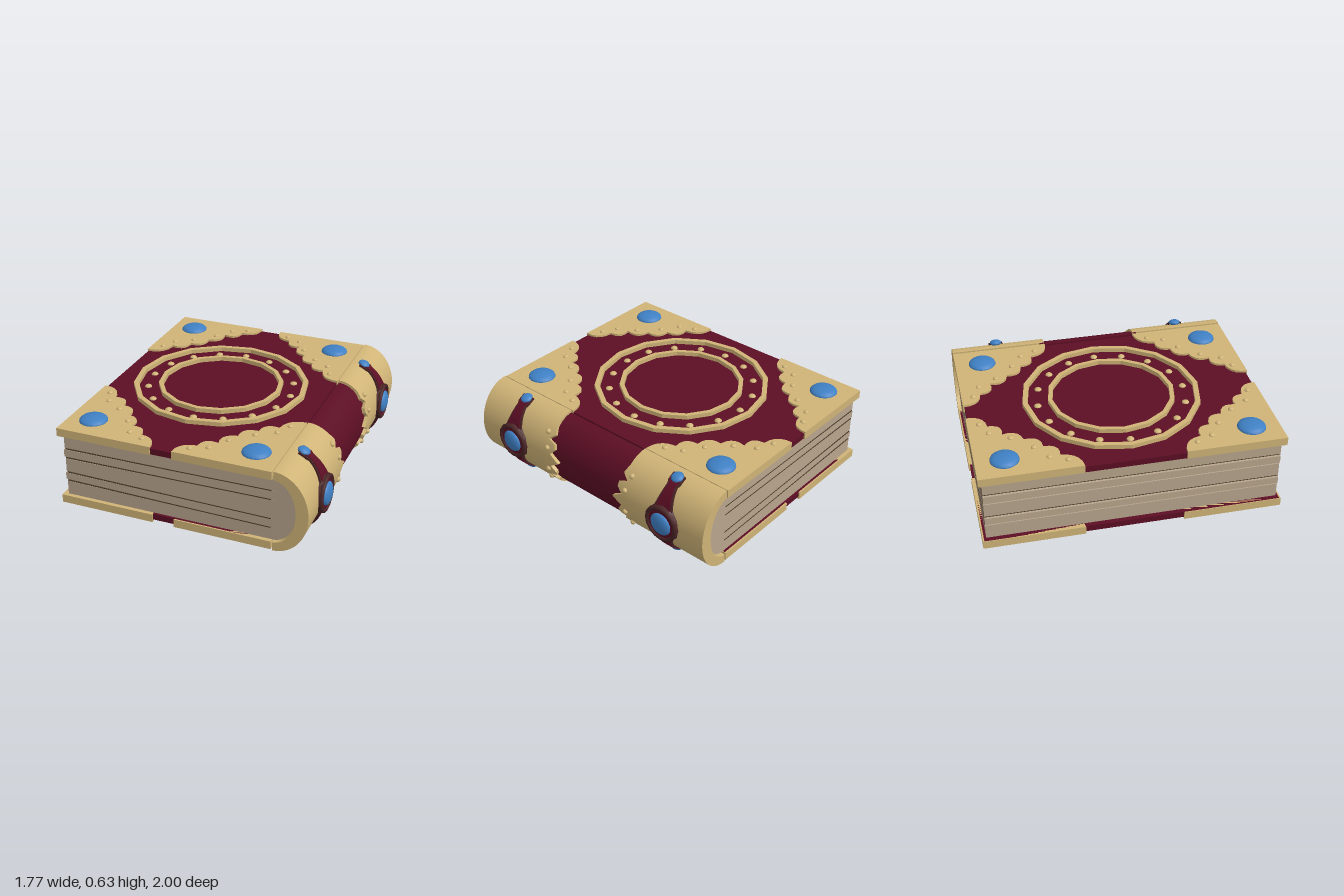
import * as THREE from 'three';
import { toCreasedNormals } from 'three/addons/utils/BufferGeometryUtils.js';

const material = (name, color, side = THREE.FrontSide) => {
  const m = new THREE.MeshStandardMaterial({ color, side });
  m.name = name;
  return m;
};
const CY = 0.315;   // mid height of the book
const CX = -0.145;  // middle of the cover
const SX = 0.605;   // where the spine begins

export function createModel() {
  const gold = material('gold', 0xd0b477, THREE.DoubleSide);
  const red = material('darkRed', 0x5c0e24, THREE.DoubleSide);
  const blue = material('gemBlue', 0x3f80c4);
  const brown = material('darkBrown', 0x4a2426, THREE.DoubleSide);
  const paper = material('paper', 0xb8a58d);
  const gap = material('pageGap', 0x4a3b2c);

  const book = new THREE.Group();
  book.name = 'book';
  const add = (parent, name, geo, mat, x = 0, y = 0, z = 0) => {
    const m = new THREE.Mesh(geo, mat);
    m.name = name;
    m.position.set(x, y, z);
    parent.add(m);
    return m;
  };
  // flattened dome used for gems and studs
  const dome = (parent, name, r, h, mat, x, y, z) => {
    const m = add(parent, name, new THREE.SphereGeometry(r, 20, 12), mat, x, y, z);
    m.scale.y = h / r;
    return m;
  };
  // lays a shape drawn in x, z flat, with its top at height 0
  const slab = (shape, depth) =>
    new THREE.ExtrudeGeometry(shape, { depth, bevelEnabled: false, curveSegments: 5 }).rotateX(Math.PI / 2);

  // ---- covers ----
  const cusps = [[-0.22, -1], [-0.34, -0.87], [-0.45, -0.79], [-0.53, -0.66], [-0.63, -0.55], [-0.74, -0.46], [-0.885, -0.33]];
  const studs = [[-0.31, -0.92], [-0.42, -0.87], [-0.5, -0.74], [-0.63, -0.61], [-0.75, -0.53], [-0.8, -0.42]];

  const cornerShape = (sx, sz) => {
    const p = (x, z) => [CX + sx * (CX - x), -sz * z];
    const s = new THREE.Shape();
    s.moveTo(...p(-0.885, -1));
    s.lineTo(...p(...cusps[0]));
    for (let i = 1; i < cusps.length; i++) {
      const [ax, az] = cusps[i - 1], [bx, bz] = cusps[i];
      const dx = bx - ax, dz = bz - az, l = Math.hypot(dx, dz);
      s.quadraticCurveTo(...p((ax + bx) / 2 + dz / l * 0.085, (az + bz) / 2 - dx / l * 0.085), ...p(bx, bz));
    }
    s.closePath();
    return s;
  };
  const polygon = (path, r) => path.setFromPoints(Array.from({ length: 16 }, (_, i) =>
    new THREE.Vector2(r * Math.cos(i * Math.PI / 8), r * Math.sin(i * Math.PI / 8))));

  const makeCover = (name) => {
    const g = new THREE.Group();
    g.name = name;
    add(g, 'coverBoard', new THREE.BoxGeometry(1.47, 0.042, 1.98), red, CX, 0.244, 0);
    for (const sx of [-1, 1]) for (const sz of [-1, 1]) {
      add(g, 'cornerPlate', slab(cornerShape(sx, sz), 0.057), gold, 0, 0.28, 0);
      for (const [x, z] of studs) dome(g, 'cornerStud', 0.02, 0.014, gold, CX + sx * (CX - x), 0.28, -sz * z);
      dome(g, 'cornerGem', 0.095, 0.035, blue, CX + sx * 0.57, 0.28, sz * 0.81);
    }
    for (const [outer, inner] of [[0.61, 0.575], [0.435, 0.405]]) {
      const s = polygon(new THREE.Shape(), outer);
      s.holes.push(polygon(new THREE.Path(), inner));
      add(g, 'coverRing', slab(s, 0.035), gold, CX - 0.005, 0.295, 0);
    }
    for (let i = 0; i < 16; i++) {
      const a = i * Math.PI / 8 - 0.025;
      dome(g, 'ringStud', 0.025, 0.016, gold, CX - 0.005 + 0.508 * Math.cos(a), 0.265, 0.508 * Math.sin(a));
    }
    g.position.y = CY;
    book.add(g);
    return g;
  };
  makeCover('topCover');
  makeCover('bottomCover').rotation.x = Math.PI;

  // ---- pages, with narrow wedge gaps opening at the fore edge ----
  const gaps = [[0.2, 0.18], [0.262, 0.245], [0.37, 0.385], [0.437, 0.45]];
  const page = new THREE.Shape();
  page.moveTo(-0.85, 0.536);
  [...gaps].reverse().forEach(([y, yIn], i) => {
    const x = -0.85 - (i % 2) * 0.008;
    page.lineTo(x, y + 0.007);
    page.lineTo(0.65, yIn);
    page.lineTo(-0.857 + (i % 2) * 0.008, y - 0.007);
  });
  page.lineTo(-0.85, 0.094);
  page.lineTo(0.6, 0.094);
  page.absellipse(0.6, CY, 0.15, 0.221, -Math.PI / 2, Math.PI / 2, false);
  page.closePath();
  add(book, 'pageBlock', toCreasedNormals(
    new THREE.ExtrudeGeometry(page, { depth: 1.95, bevelEnabled: false, curveSegments: 20 }), 0.5), paper, 0, 0, -0.975);
  for (const [y, yIn] of gaps) {
    const m = add(book, 'pageGap', new THREE.BoxGeometry(1.43, 0.006, 1.954), gap, -0.13, (y + yIn) / 2, 0);
    m.rotation.z = Math.atan2(yIn - y, 1.5);
  }

  // ---- spine ----
  const shell = (rx, ry, depth) => {
    const s = new THREE.Shape();
    s.absellipse(SX, CY, rx, ry, -Math.PI / 2, Math.PI / 2, false);
    s.absellipse(SX, CY, 0.148, 0.225, Math.PI / 2, -Math.PI / 2, true);
    s.closePath();
    return toCreasedNormals(new THREE.ExtrudeGeometry(s, { depth, bevelEnabled: false, curveSegments: 28 }), 0.5);
  };
  add(book, 'spineCentre', shell(0.205, 0.268, 0.74), red, 0, 0, -0.37);
  for (const z of [-1, 0.365]) add(book, 'spineCap', shell(0.23, 0.285, 0.635), gold, 0, 0, z);

  // strip around the spine; columns(a) gives [z, offset] pairs across it
  const spineStrip = (from, to, n, columns) => {
    const pos = [], idx = [], k = columns(from).length;
    for (let i = 0; i <= n; i++) {
      const a = from + (to - from) * i / n;
      for (const [z, o] of columns(a)) pos.push(SX + (0.23 + o) * Math.cos(a), CY + (0.285 + o) * Math.sin(a), z);
      if (i < n) for (let j = 0; j < k - 1; j++) {
        const q = i * k + j;
        idx.push(q, q + k, q + 1, q + 1, q + k, q + k + 1);
      }
    }
    const g = new THREE.BufferGeometry();
    g.setAttribute('position', new THREE.Float32BufferAttribute(pos, 3));
    g.setIndex(idx);
    g.computeVertexNormals();
    return toCreasedNormals(g, 0.6);
  };

  // scalloped ends of the spine caps: [distance from mid height, z]
  const edge = [[0, 0.25], [0.05, 0.33], [0.09, 0.29], [0.13, 0.295], [0.145, 0.36], [0.185, 0.31], [0.23, 0.33], [0.3, 0.335]];
  const edgeZ = (a) => {
    const d = Math.abs(0.285 * Math.sin(a));
    const i = edge.findIndex((e) => e[0] > d);
    const [d0, z0] = edge[i - 1], [d1, z1] = edge[i];
    return z0 + (z1 - z0) * (d - d0) / (d1 - d0);
  };
  const H = Math.PI / 2;
  for (const s of [-1, 1]) {
    const cols = (a) => {
      const c = [[s * edgeZ(a), -0.03], [s * edgeZ(a), 0], [s * 0.366, 0]];
      return s > 0 ? c.reverse() : c;
    };
    // column order keeps the strip facing outward
    add(book, 'spineScallop', spineStrip(-H, H, 96, (a) => cols(a).reverse()), gold);
    for (const [dy, z] of [[0.085, 0.355], [0.185, 0.38]]) for (const v of [-1, 1]) {
      const a = Math.asin(v * dy / 0.285);
      add(book, 'spineStud', new THREE.SphereGeometry(0.019, 12, 8), gold,
        SX + 0.23 * Math.cos(a), CY + v * dy, s * z);
    }

    // ---- jewelled clasps on the spine ----
    const clasp = new THREE.Group();
    clasp.name = 'spineClasp';
    clasp.position.z = s * 0.68;
    book.add(clasp);
    const E = 1.3;
    const strap = (trim, o) => spineStrip(-E + trim, E - trim, 32, (a) => {
      const t = Math.abs(a) / E;
      const w = (t > 0.8 ? 0.048 : 0.034 + 0.075 * (1 - t) ** 2) - trim;
      return [[-w, -0.01], [-w, o], [w, o], [w, -0.01]];
    });
    add(clasp, 'strapEdge', strap(0, 0.014), brown);
    add(clasp, 'strapFace', strap(0.012, 0.019), red);
    const disc = (name, r, x0, x1, mat, sides) => add(clasp, name,
      new THREE.CylinderGeometry(r, r * 1.06, x1 - x0, sides).rotateZ(-H), mat, (x0 + x1) / 2, CY + 0.005, 0);
    disc('medallionBase', 0.128, 0.795, 0.847, brown, 12);
    disc('medallionFace', 0.1, 0.83, 0.853, red, 20);
    add(clasp, 'medallionRim', new THREE.TorusGeometry(0.115, 0.016, 8, 16).rotateY(H), brown, 0.847, CY + 0.005, 0);
    dome(clasp, 'medallionGem', 0.08, 0.03, blue, 0.853, CY + 0.005, 0).rotation.z = -H;
    for (const v of [-1, 1]) {
      const a = v * 1.21;
      dome(clasp, 'strapGem', 0.042, 0.022, blue, SX + 0.245 * Math.cos(a), CY + 0.298 * Math.sin(a), 0)
        .rotation.z = v > 0 ? -0.3 : Math.PI + 0.3;
    }
  }

  // ---- key under the bottom cover ----
  const key = new THREE.Group();
  key.name = 'key';
  key.position.set(CX, 0.04, 0);
  key.rotation.y = 0.09;
  book.add(key);
  add(key, 'keyShank', new THREE.CylinderGeometry(0.014, 0.014, 0.44, 10).rotateX(H), gold, 0, 0, 0.09);
  for (const [x, z] of [[-0.052, -0.19], [0.052, -0.19], [0, -0.265]]) {
    add(key, 'keyBow', new THREE.TorusGeometry(0.045, 0.011, 8, 20).rotateX(H), gold, x, 0, z);
  }
  add(key, 'keyGem', new THREE.SphereGeometry(0.026, 14, 10), blue, 0, -0.002, -0.213);
  for (const z of [-0.12, 0.17]) {
    add(key, 'keyCollar', new THREE.TorusGeometry(0.014, 0.009, 8, 14), gold, 0, 0, z);
  }
  add(key, 'keyBit', new THREE.BoxGeometry(0.05, 0.014, 0.085), gold, 0.03, 0, 0.255);
  for (const z of [0.226, 0.284]) {
    add(key, 'keyTooth', new THREE.BoxGeometry(0.035, 0.014, 0.027), gold, 0.07, 0, z);
  }

  return book;
}
